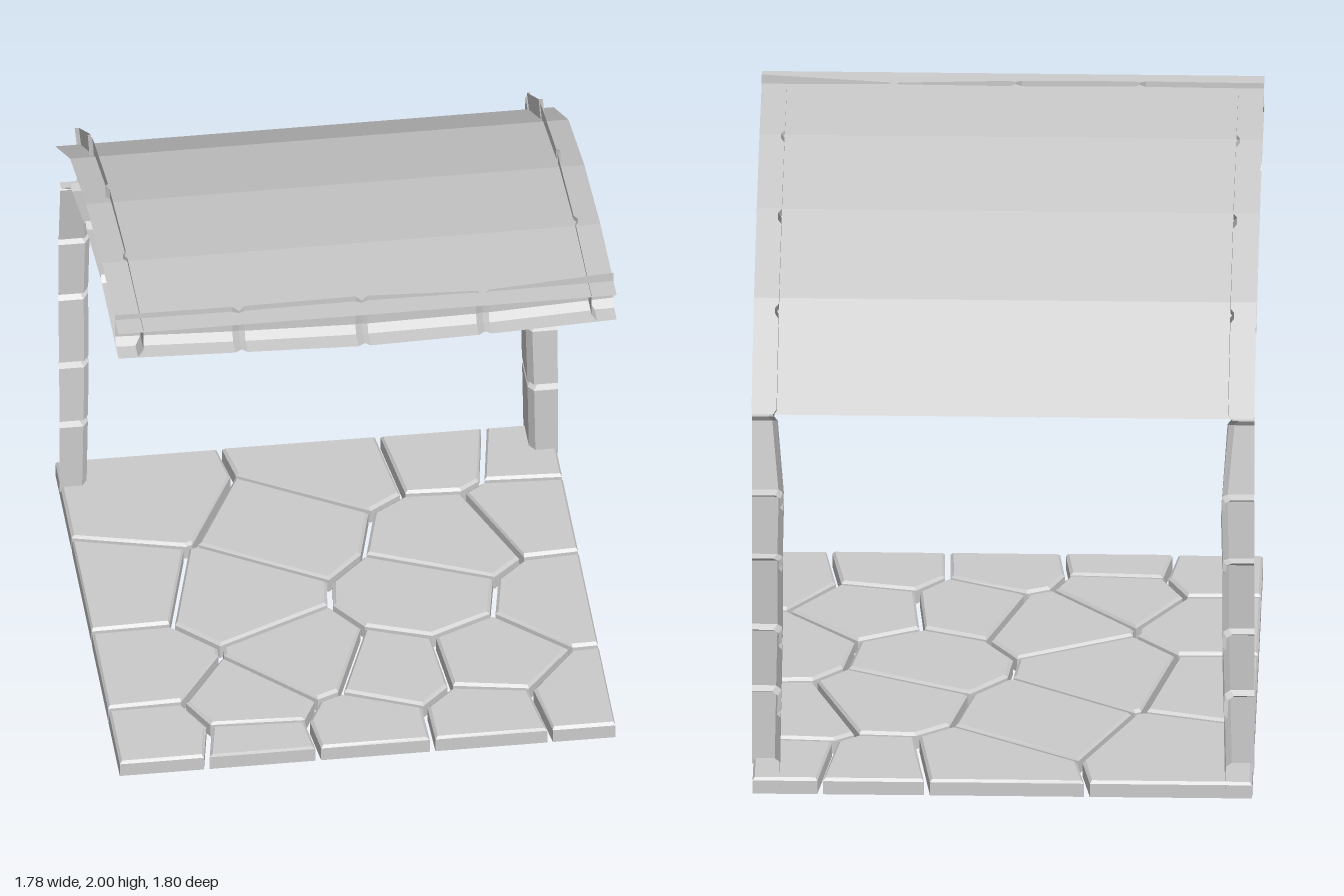
import * as THREE from 'three';

const material = new THREE.MeshStandardMaterial({ color: 0xcccccc, flatShading: true, side: THREE.DoubleSide });

// Surface through rows of points; closed joins the row ends, cap fans over the last row
function loft(name, rows, { flip = false, closed = false, cap = false } = {}) {
  const pos = [];
  const tri = (a, b, c) => (flip ? [a, c, b] : [a, b, c]).forEach((p) => pos.push(p.x, p.y, p.z));
  for (let i = 0; i < rows.length - 1; i++) {
    const n = rows[i].length;
    for (let j = 0; j < (closed ? n : n - 1); j++) {
      const k = (j + 1) % n;
      tri(rows[i][j], rows[i][k], rows[i + 1][k]);
      tri(rows[i][j], rows[i + 1][k], rows[i + 1][j]);
    }
  }
  if (cap) {
    const top = rows[rows.length - 1];
    for (let j = 1; j < top.length - 1; j++) tri(top[0], top[j], top[j + 1]);
  }
  const geometry = new THREE.BufferGeometry();
  geometry.setAttribute('position', new THREE.Float32BufferAttribute(pos, 3));
  geometry.computeVertexNormals();
  const mesh = new THREE.Mesh(geometry, material);
  mesh.name = name;
  return mesh;
}

const v = (x, y, z) => new THREE.Vector3(x, y, z);
const mix = (a, b, t) => a.map((n, i) => n + (b[i] - n) * t);

// Stone blocks along a run of stations, with a narrow recessed joint between neighbours
function blockRows(stations, section) {
  const rows = [];
  const last = stations.length - 1;
  stations.forEach((s, i) => {
    if (i > 0) rows.push(section(mix(s, stations[i - 1], i < last ? 0.05 : 0), 0));
    if (i > 0 && i < last) rows.push(section(s, 0.022));
    if (i < last) rows.push(section(mix(s, stations[i + 1], i > 0 ? 0.05 : 0), 0));
  });
  return rows;
}

// Post and roof rib: [outer z, outer y, inner z, inner y, inner x]
const RIB = [
  [-0.9, 0.04, -0.72, 0.04, 0.79], [-0.9, 0.33, -0.72, 0.34, 0.785],
  [-0.9, 0.6, -0.735, 0.59, 0.78], [-0.9, 0.91, -0.755, 0.88, 0.78],
  [-0.9, 1.15, -0.75, 1.13, 0.775], [-0.9, 1.52, -0.7, 1.41, 0.8],
  [-0.54, 1.76, -0.4, 1.63, 0.8], [-0.06, 1.895, 0, 1.765, 0.8],
  [0.43, 1.96, 0.42, 1.85, 0.8], [0.9, 1.975, 0.9, 1.86, 0.8],
];

function rib(side) {
  const section = ([zo, yo, zi, yi, xi], recess) => {
    const dir = new THREE.Vector2(zo - zi, yo - yi).normalize();
    const at = (x, d) => v(side * x, yi + dir.y * d, zi + dir.x * d);
    const x = xi + recess * 0.6;
    return [v(side * x, yo, zo), at(x, recess + 0.03), at(x + 0.02, recess), at(0.89, recess)];
  };
  return loft(side > 0 ? 'leftPostAndRib' : 'rightPostAndRib', blockRows(RIB, section), { flip: side < 0 });
}

// Front beam: [x, top y, bottom y, wall z]
const BEAM = [
  [-0.89, 1.985, 1.86, 0.81], [-0.45, 1.985, 1.845, 0.815], [-0.01, 1.985, 1.83, 0.81],
  [0.42, 1.97, 1.84, 0.815], [0.89, 2.0, 1.86, 0.81],
];

function beam() {
  const section = ([x, top, bottom, z], r) => [
    v(x, top - r * 0.5, z + r * 0.6), v(x, bottom + 0.03 + r * 0.6, z + r * 0.6),
    v(x, bottom + r * 0.6, z + 0.02 + r * 0.6), v(x, bottom + r * 0.6, 0.9),
  ];
  return loft('frontBeam', blockRows(BEAM, section), { flip: true });
}

// Thin curved roof: [z, y]
function roof() {
  const profile = [[0.9, 1.968], [0.45, 1.945], [0.01, 1.875], [-0.43, 1.745], [-0.84, 1.49]];
  return loft('roofSheet', profile.map(([z, y]) => [v(-0.89, y, z), v(0.89, y, z)]));
}

// Centres of the paving stones: [x, z]
const STONES = [
  [-0.73, 0.79], [-0.74, 0.37], [-0.75, -0.12], [-0.62, -0.62], [-0.13, -0.38], [-0.35, -0.02], [-0.38, 0.61],
  [-0.16, 0.39], [0.09, -0.75], [0.47, -0.8], [0.79, -0.75], [0.44, -0.24], [0.77, -0.37], [0.8, 0.15],
  [0.5, 0.47], [0.82, 0.73], [0.44, 0.79], [0.02, 0.8], [-0.39, 0.85], [0.15, 0.5], [0.31, 0.06],
];

// Keep the part of a polygon nearer to p than to q, less half the joint width
function clip(poly, p, q, gap) {
  const dx = q[0] - p[0], dz = q[1] - p[1], len = Math.hypot(dx, dz);
  const dist = (a) => ((a[0] - p[0]) * dx + (a[1] - p[1]) * dz) / len - len / 2 + gap;
  const out = [];
  poly.forEach((a, i) => {
    const b = poly[(i + 1) % poly.length], da = dist(a), db = dist(b);
    if (da <= 0) out.push(a);
    if (da * db < 0) out.push(mix(a, b, da / (da - db)));
  });
  return out;
}

function paving() {
  const floor = new THREE.Group();
  floor.name = 'pavedFloor';
  for (const p of STONES) {
    let poly = [[-0.885, 0.9], [0.885, 0.9], [0.885, -0.875], [-0.885, -0.875]];
    for (const q of STONES) if (q !== p) poly = clip(poly, p, q, 0.01);
    const c = poly.reduce((s, a) => [s[0] + a[0] / poly.length, s[1] + a[1] / poly.length], [0, 0]);
    // Open underneath, with a small bevel round the top
    const ring = (y, inset) => poly.map((a) => {
      const [x, z] = mix(a, c, inset / Math.hypot(a[0] - c[0], a[1] - c[1]));
      return v(x, y, z);
    });
    floor.add(loft('pavingStone', [ring(0, 0), ring(0.052, 0), ring(0.062, 0.012)], { closed: true, cap: true }));
  }
  return floor;
}

export function createModel() {
  const model = new THREE.Group();
  model.name = 'stoneShelter';
  model.add(paving(), rib(1), rib(-1), beam(), roof());
  return model;
}
